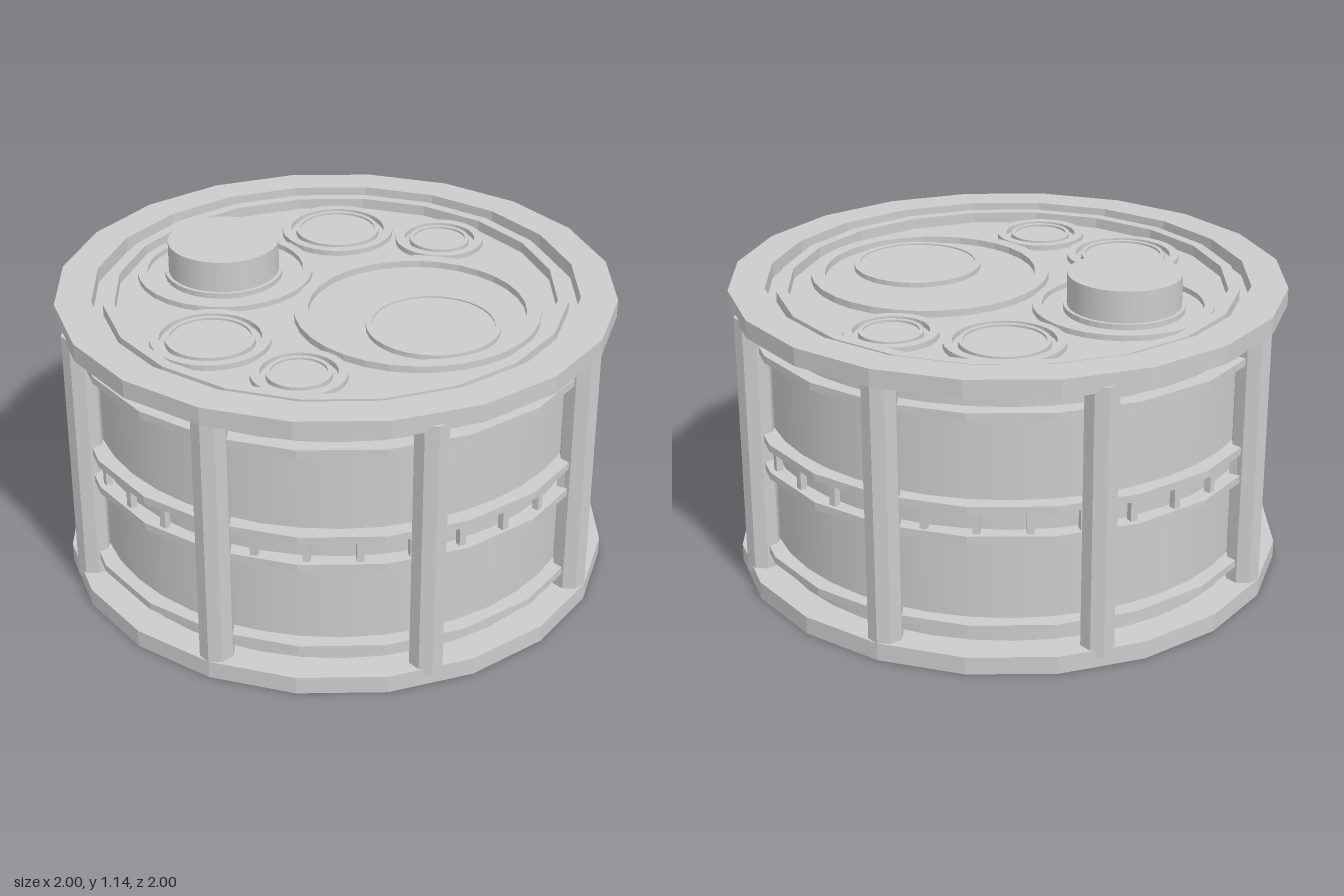
import * as THREE from 'three';

const flat = new THREE.MeshStandardMaterial({ color: 0xcccccc, flatShading: true });
const smooth = new THREE.MeshStandardMaterial({ color: 0xcccccc });

export function createModel() {
  const model = new THREE.Group();

  function add(name, geometry, x = 0, y = 0, z = 0, material = flat) {
    const mesh = new THREE.Mesh(geometry, material);
    mesh.name = name;
    mesh.position.set(x, y, z);
    model.add(mesh);
    return mesh;
  }

  // Square-section ring around the y axis
  function ring(name, inner, outer, y0, y1, sides = 20, x = 0, z = 0) {
    const profile = [[outer, y0], [outer, y1], [inner, y1], [inner, y0], [outer, y0]]
      .map(([r, y]) => new THREE.Vector2(r, y));
    return add(name, new THREE.LatheGeometry(profile, sides), x, 0, z);
  }

  function disc(name, radius, y0, y1, x, z, sides = 32) {
    return add(name, new THREE.CylinderGeometry(radius, radius, y1 - y0, sides), x, (y0 + y1) / 2, z, smooth);
  }

  // Drum body with recessed ends, and the two faceted rims
  disc('body', 0.88, 0.04, 1.01, 0, 0, 40);
  ring('bottomRim', 0.87, 1, 0, 0.065);
  ring('topRim', 0.87, 1, 1, 1.065);
  ring('deckLip', 0.79, 0.83, 1, 1.05);

  // Upright posts
  for (let i = 0; i < 8; i++) {
    const a = i * Math.PI / 4;
    add('post', new THREE.CylinderGeometry(0.062, 0.062, 0.98, 8),
      0.938 * Math.sin(a), 0.53, 0.938 * Math.cos(a));
  }

  // Bands around the body
  for (const y of [0.126, 0.458, 0.566, 0.898]) ring('band', 0.86, 0.94, y, y + 0.027);

  // Small spacers between the two middle bands
  for (let i = 0; i < 32; i++) {
    const a = (i + 0.75) * Math.PI / 16;
    const spacer = add('spacer', new THREE.BoxGeometry(0.025, 0.085, 0.025),
      0.905 * Math.sin(a), 0.525, 0.905 * Math.cos(a));
    spacer.rotation.y = a;
  }

  // Round ports on the deck, mirrored front to back
  for (const side of [-1, 1]) {
    for (const [x, z, r] of [[-0.235, 0.5, 0.21], [0.15, 0.59, 0.165]]) {
      ring('portCollar', r - 0.033, r, 1, 1.03, 32, x, z * side);
      ring('portInnerRing', r - 0.068, r - 0.053, 1, 1.03, 32, x, z * side);
      disc('portCover', r - 0.066, 1, 1.022, x, z * side);
    }
  }

  // Raised cap in its collar
  ring('capCollar', 0.285, 0.32, 1, 1.03, 32, -0.45, 0);
  ring('capSeat', 0.2, 0.215, 1, 1.03, 32, -0.455, 0);
  disc('cap', 0.202, 1, 1.145, -0.455, 0);

  // Large hatch with an offset plate
  ring('hatchCollar', 0.385, 0.435, 1, 1.035, 32, 0.318, 0);
  ring('hatchPlateRim', 0.215, 0.235, 1, 1.028, 32, 0.412, 0.075);
  disc('hatchPlate', 0.217, 1, 1.022, 0.412, 0.075);

  return model;
}
